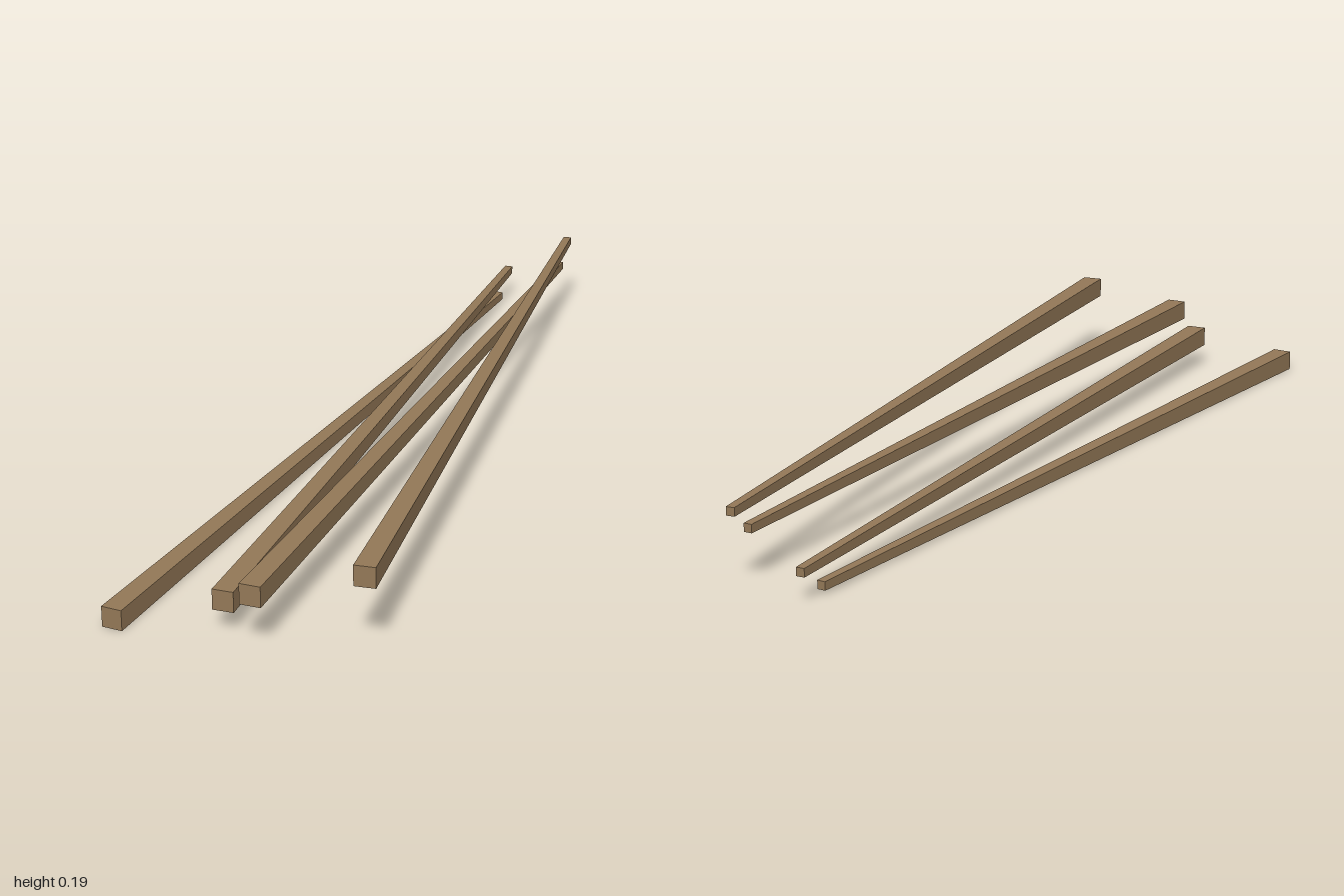
import * as THREE from 'three';

const BUTT = 0.045; // thick square end
const TIP = 0.0185; // thin square end

// Square stick tapering from the butt (front) to the tip (back)
function taperedStick(name, butt, tip, material) {
  const front = new THREE.Vector3(...butt);
  const back = new THREE.Vector3(...tip);
  const geometry = new THREE.BoxGeometry(BUTT, BUTT, front.distanceTo(back));
  const pos = geometry.attributes.position;
  for (let i = 0; i < pos.count; i++) {
    if (pos.getZ(i) < 0) {
      pos.setX(i, pos.getX(i) * TIP / BUTT);
      pos.setY(i, pos.getY(i) * TIP / BUTT);
    }
  }
  geometry.computeVertexNormals();
  const mesh = new THREE.Mesh(geometry, material);
  mesh.name = name;
  mesh.position.addVectors(front, back).multiplyScalar(0.5);
  mesh.lookAt(front);
  return mesh;
}

export function createModel() {
  const group = new THREE.Group();
  group.name = 'chopsticks';
  const wood = new THREE.MeshStandardMaterial({ color: 0x937857, flatShading: true });

  // Two pairs, each stick resting a little higher than the last
  const sticks = [
    ['rightOuterStick', [-0.252, 0.0235, 0.997], [-0.08, 0.018, -0.93]],
    ['rightInnerStick', [-0.039, 0.0725, 0.94], [-0.076, 0.066, -0.997]],
    ['leftInnerStick', [0.039, 0.1215, 0.987], [0.075, 0.115, -0.947]],
    ['leftOuterStick', [0.251, 0.17, 0.927], [0.079, 0.164, -0.999]],
  ];
  for (const [name, butt, tip] of sticks) group.add(taperedStick(name, butt, tip, wood));
  return group;
}
